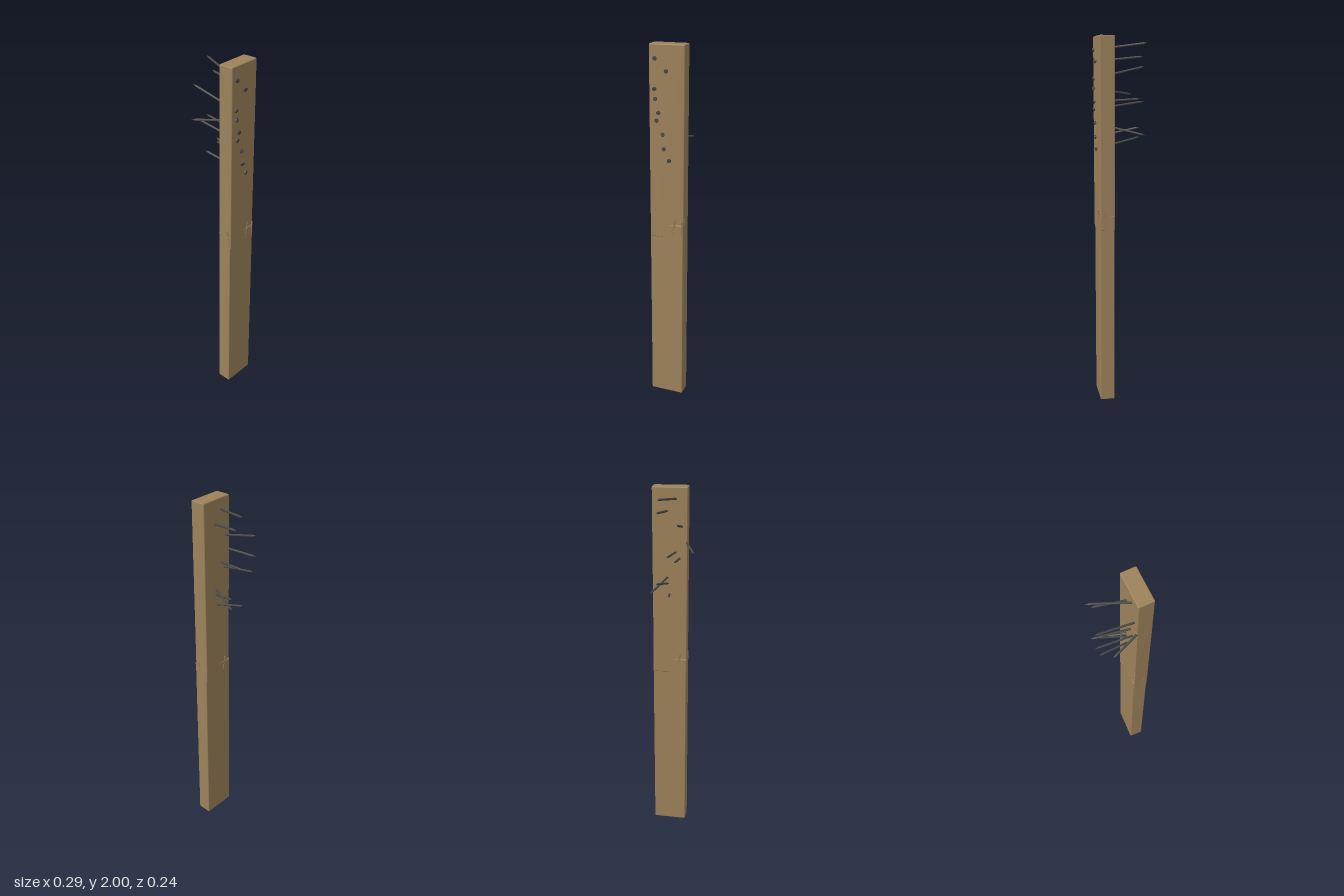
import * as THREE from 'three';
import { RoundedBoxGeometry } from 'three/addons/geometries/RoundedBoxGeometry.js';

export function createModel() {
  const group = new THREE.Group();
  const wood = new THREE.MeshStandardMaterial({ color: 0x9d825b });
  const iron = new THREE.MeshStandardMaterial({ color: 0x4a4a48 });
  wood.name = 'wood';
  iron.name = 'dark iron';

  const add = (name, geometry, material, parent = group) => {
    const mesh = new THREE.Mesh(geometry, material);
    mesh.name = name;
    parent.add(mesh);
    return mesh;
  };

  // Plank cracked near the middle: straight lower half, slightly twisted upper half
  const W = 0.08, D = 0.186, CX = 0.09, CZ = -0.029;
  add('lowerPlank', new RoundedBoxGeometry(W, 1.06, D, 2, 0.005), wood).position.set(CX, 0.53, CZ);
  const upper = add('upperPlank', new RoundedBoxGeometry(W, 1.02, D, 2, 0.005), wood);
  upper.position.set(CX, 1.49, CZ);
  upper.rotation.y = 0.045;

  // Thin slivers lifting along the crack: side of plank, z or x offset, height, lean
  const slivers = [
    ['x', 1, 0.06, 1.03, 0.06], ['x', 1, -0.04, 1.04, -0.15], ['x', 1, -0.085, 1.03, -0.05],
    ['x', -1, 0.05, 1.04, 0.12], ['x', -1, -0.03, 1.03, -0.1],
    ['z', 1, 0.028, 1.04, 0.12], ['z', 1, -0.025, 1.01, 0.15], ['z', -1, 0.01, 1.04, -0.1],
  ];
  for (const [axis, side, offset, y, lean] of slivers) {
    const sliver = add('splinter', new THREE.ConeGeometry(0.006, 0.1, 4), wood);
    if (axis === 'x') {
      sliver.position.set(CX + side * W / 2, y, CZ + offset);
      sliver.scale.x = 0.5;
      sliver.rotation.x = Math.PI + lean;
    } else {
      sliver.position.set(CX + offset, y, CZ + side * D / 2);
      sliver.scale.z = 0.5;
      sliver.rotation.z = Math.PI + lean;
    }
  }

  // Nails driven through: head height and z, then tip x, y, z
  const nails = [
    [1.93, 0.03, -0.14, 1.965, -0.055],
    [1.87, -0.03, -0.115, 1.895, -0.065],
    [1.78, 0.033, -0.143, 1.845, 0.044],
    [1.73, 0.028, -0.085, 1.695, 0.118],
    [1.66, 0.012, -0.11, 1.675, -0.015],
    [1.62, 0.022, -0.14, 1.66, 0.03],
    [1.55, -0.01, -0.12, 1.487, -0.099],
    [1.475, -0.017, -0.095, 1.53, -0.074],
    [1.415, -0.045, -0.11, 1.472, -0.004],
  ];
  const up = new THREE.Vector3(0, 1, 0);
  for (const [headY, headZ, ...end] of nails) {
    const head = new THREE.Vector3(0.138, headY, headZ);
    const direction = new THREE.Vector3(...end).sub(head);
    const length = direction.length();
    const nail = new THREE.Group();
    nail.name = 'nail';
    nail.position.copy(head);
    nail.quaternion.setFromUnitVectors(up, direction.normalize());
    group.add(nail);
    add('nailHead', new THREE.CylinderGeometry(0.0105, 0.0105, 0.007, 12), iron, nail);
    add('nailShank', new THREE.CylinderGeometry(0.0055, 0.0055, length - 0.02, 8), iron, nail)
      .position.y = (length - 0.02) / 2;
    add('nailPoint', new THREE.ConeGeometry(0.0055, 0.02, 8), iron, nail).position.y = length - 0.01;
  }
  return group;
}
